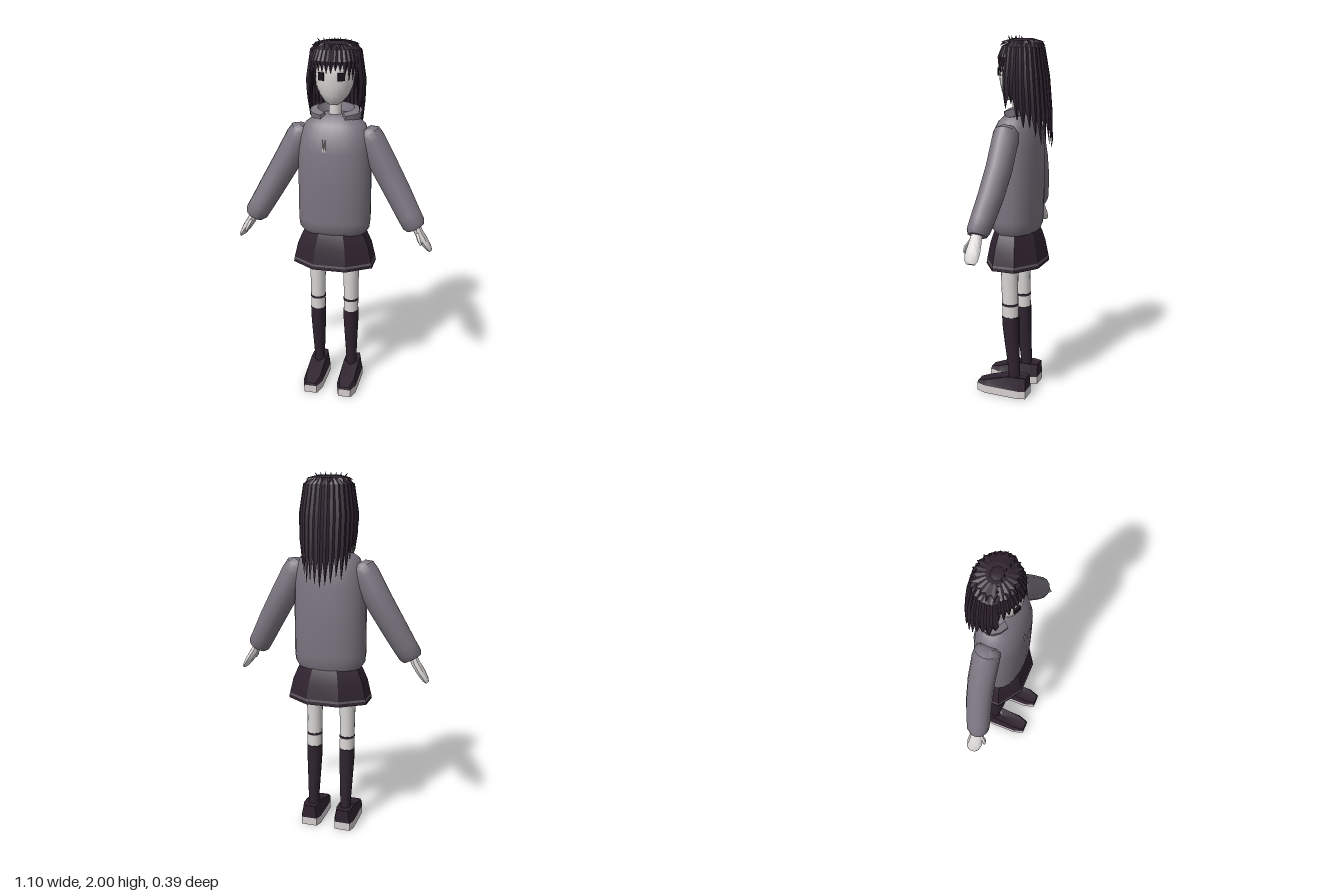
import * as THREE from 'three';
import { toCreasedNormals } from 'three/addons/utils/BufferGeometryUtils.js';

const V = (x, y, z) => new THREE.Vector3(x, y, z);
const colour = (name, hex, side = THREE.FrontSide) => {
  const m = new THREE.MeshStandardMaterial({ color: hex, side });
  m.name = name;
  return m;
};

// Skin a list of rings, each running right-handed about the path direction
function loft(rings, { caps = true, crease = 0.7 } = {}) {
  const n = rings[0].length, pos = [], idx = [];
  rings.forEach(r => r.forEach(p => pos.push(p.x, p.y, p.z)));
  for (let i = 0; i < rings.length - 1; i++) {
    for (let j = 0; j < n; j++) {
      const a = i * n + j, b = i * n + (j + 1) % n;
      idx.push(a, b, a + n, b, b + n, a + n);
    }
  }
  if (caps) [0, rings.length - 1].forEach((k, end) => {
    const c = V(0, 0, 0), at = pos.length / 3;
    rings[k].forEach(p => c.addScaledVector(p, 1 / n));
    pos.push(c.x, c.y, c.z);
    for (let j = 0; j < n; j++) {
      const a = k * n + j, b = k * n + (j + 1) % n;
      if (end) idx.push(at, a, b); else idx.push(at, b, a);
    }
  });
  const g = new THREE.BufferGeometry();
  g.setAttribute('position', new THREE.Float32BufferAttribute(pos, 3));
  g.setIndex(idx);
  return toCreasedNormals(g, crease);
}

// Horizontal ring for lofts that climb in y; power below 1 squares the oval
function oval(y, x, z, rx, rz, n = 16, phase = 0, power = 1) {
  const f = t => Math.sign(t) * Math.abs(t) ** power;
  return Array.from({ length: n }, (_, i) => {
    const t = (i / n) * Math.PI * 2 + phase;
    return V(x + rx * f(Math.sin(t)), y, z + rz * f(Math.cos(t)));
  });
}

// Ring across the slanted arm, u in the arm plane and w along z
const slanted = (x, y, z, u, w, n = 14) => Array.from({ length: n }, (_, i) => {
  const t = (i / n) * Math.PI * 2;
  return V(x + 0.865 * u * Math.cos(t), y + 0.5 * u * Math.cos(t), z + w * Math.sin(t));
});
const mirror = rings => rings.map(r => r.map(p => V(-p.x, p.y, p.z)).reverse());

// Pointed hair lock; steps are [rx, y, rz, halfWidth, halfDepth] about the head
function lock(phi, steps) {
  const s = Math.sin(phi), c = Math.cos(phi);
  return loft(steps.map(([rx, y, rz, w, d]) => {
    const x = rx * s, z = -0.028 + rz * c;
    return [V(x + w * c, y, z - w * s), V(x + d * s, y, z + d * c),
      V(x - w * c, y, z + w * s), V(x - d * s, y, z - d * c)];
  }), { crease: 0.25 });
}

export function createModel() {
  const model = new THREE.Group();
  const hair = colour('dark plum', 0x2f232f, THREE.DoubleSide);
  const knit = colour('sweater grey', 0x7b7580);
  const skin = colour('pale skin', 0xd9d6d5);
  const rubber = colour('sole white', 0xd6cfd0);
  const trim = colour('trim grey', 0x5f585f, THREE.DoubleSide);
  const black = colour('eye black', 0x1c151d);
  const add = (name, geo, mat, parent = model) => {
    const m = new THREE.Mesh(geo, mat);
    m.name = name;
    parent.add(m);
    return m;
  };
  let seed = 7;
  const rnd = () => (seed = (seed * 16807) % 2147483647) / 2147483647 - 0.5;

  // Sweater body
  add('sweater', loft([
    [0.955, 0.175, 0.11, -0.005], [0.985, 0.195, 0.125, 0], [1.03, 0.2, 0.13, 0],
    [1.25, 0.2, 0.132, 0], [1.42, 0.197, 0.13, 0], [1.5, 0.187, 0.118, -0.003],
    [1.56, 0.162, 0.095, -0.01], [1.595, 0.115, 0.07, -0.02], [1.61, 0.07, 0.05, -0.02],
  ].map(([y, rx, rz, z]) => oval(y, 0, z, rx, rz, 24, 0, 0.85))), knit);

  // Folded collar, open at the front and higher at the back
  const collar = [];
  for (let i = 0; i <= 14; i++) {
    const t = 0.5 + (i / 14) * (Math.PI * 2 - 1), b = (1 - Math.cos(t)) / 2;
    collar.push([[0.1, 1.62 + 0.04 * b], [0.142, 1.605 + 0.045 * b], [0.135, 1.57 + 0.035 * b], [0.085, 1.565 + 0.03 * b]]
      .map(([r, y]) => V(r * Math.sin(t), y, -0.025 + r * 0.63 * Math.cos(t))));
  }
  add('collar', loft(collar, { crease: 0.5 }), knit);

  // Two short cords on the chest
  for (const x of [-0.037, -0.026]) {
    add('cord', new THREE.BoxGeometry(0.005, 0.065, 0.006), rubber).position.set(x, 1.46, 0.126);
  }

  // Skirt with a stripe above the hem
  const skirtRings = [[0.765, 0.243, 0.166], [0.782, 0.241, 0.164], [0.794, 0.238, 0.162],
    [0.88, 0.217, 0.145], [0.94, 0.19, 0.127], [0.975, 0.17, 0.112]]
    .map(([y, rx, rz]) => oval(y, 0, -0.002, rx, rz, 8, Math.PI / 8));
  const open = { caps: false, crease: 0.5 };
  add('skirtHem', loft(skirtRings.slice(0, 2), open), hair);
  add('skirtStripe', loft(skirtRings.slice(1, 3), open), trim);
  add('skirt', loft(skirtRings.slice(2), open), hair);

  // Arms and hands
  const sleeve = [
    slanted(0.165, 1.535, -0.008, 0.035, 0.04), slanted(0.178, 1.513, -0.008, 0.068, 0.064),
    slanted(0.2, 1.47, -0.008, 0.076, 0.07), slanted(0.275, 1.33, -0.004, 0.076, 0.07),
    slanted(0.35, 1.2, 0.01, 0.072, 0.068), slanted(0.415, 1.085, 0.03, 0.067, 0.064),
    slanted(0.442, 1.04, 0.038, 0.065, 0.06), slanted(0.454, 1.02, 0.04, 0.052, 0.048),
  ];
  const palm = [
    slanted(0.45, 1.04, 0.04, 0.024, 0.028, 8), slanted(0.475, 0.99, 0.042, 0.025, 0.036, 8),
    slanted(0.505, 0.945, 0.043, 0.023, 0.042, 8), slanted(0.53, 0.908, 0.04, 0.016, 0.036, 8),
    slanted(0.54, 0.894, 0.038, 0.009, 0.024, 8),
  ];
  const thumb = [
    slanted(0.467, 1.0, 0.062, 0.014, 0.014, 6), slanted(0.482, 0.966, 0.085, 0.013, 0.014, 6),
    slanted(0.493, 0.94, 0.092, 0.007, 0.008, 6),
  ];
  for (const [side, f] of [['left', r => r], ['right', mirror]]) {
    add(side + 'Sleeve', loft(f(sleeve)), knit);
    add(side + 'Hand', loft(f(palm)), skin);
    add(side + 'Thumb', loft(f(thumb)), skin);
  }

  // Legs, socks and shoes
  const half = [[0.036, 0.2], [0.056, 0.14], [0.058, 0], [0.058, -0.06], [0.045, -0.1]];
  const plan = [...half, ...half.map(([x, z]) => [-x, z]).reverse()];
  for (const [side, s] of [['left', 1], ['right', -1]]) {
    const x = s * 0.097;
    add(side + 'Leg', loft([[0.45, 0.042, 0.047, 0.005], [0.54, 0.042, 0.046, 0.007],
      [0.65, 0.043, 0.047, 0.01], [0.77, 0.047, 0.051, 0.01], [0.95, 0.055, 0.06, 0]]
      .map(([y, rx, rz, z]) => oval(y, x, z, rx, rz))), skin);
    add(side + 'KneeBand', loft([0.537, 0.55].map(y => oval(y, x, 0.007, 0.0435, 0.0475))), hair);
    add(side + 'Sock', loft([[0.09, 0.03, 0.032, -0.018], [0.16, 0.031, 0.034, -0.016],
      [0.3, 0.038, 0.041, -0.004], [0.4, 0.043, 0.047, 0.003], [0.472, 0.044, 0.049, 0.005]]
      .map(([y, rx, rz, z]) => oval(y, x, z, rx, rz))), hair);
    const cx = s * 0.1;
    add(side + 'Sole', loft([0, 0.045].map(y => plan.map(([px, z]) => V(cx + px, y, z))), { crease: 0.3 }), rubber);
    add(side + 'Shoe', loft([
      plan.map(([px, z]) => V(cx + px, 0.045, z)),
      plan.map(([px, z]) => V(cx + px * 0.76, 0.06 + 0.06 * Math.min(1, (0.2 - z) / 0.2), z * 0.98)),
    ], { crease: 0.3 }), hair);
  }

  // Neck, head with tapered chin, eyes
  add('neck', new THREE.CylinderGeometry(0.032, 0.034, 0.16, 14), skin).position.set(0, 1.65, -0.005);
  add('head', loft([[1.665, 0.025, 0.022, 0.035], [1.68, 0.048, 0.045, 0.026], [1.715, 0.077, 0.075, 0.012],
    [1.76, 0.097, 0.092, 0.004], [1.82, 0.106, 0.1, 0], [1.88, 0.1, 0.094, 0], [1.93, 0.078, 0.072, -0.005],
    [1.965, 0.03, 0.03, -0.01]].map(([y, rx, rz, z]) => oval(y, 0, z, rx, rz, 20))), skin);
  for (const s of [-1, 1]) {
    const eye = add('eye', new THREE.BoxGeometry(0.036, 0.04, 0.008), black);
    eye.position.set(s * 0.053, 1.814, 0.089);
    eye.rotation.y = s * 0.5;
  }

  // Hair: cap, long back locks, fringe and crown spikes
  const hairGroup = new THREE.Group();
  hairGroup.name = 'hair';
  model.add(hairGroup);
  const cap = add('hairCap', new THREE.SphereGeometry(1, 18, 9, 0, Math.PI * 2, 0, Math.PI * 0.55), hair, hairGroup);
  cap.scale.set(0.128, 0.118, 0.116);
  cap.position.set(0, 1.86, -0.025);
  cap.rotation.x = -0.35;
  for (let i = 0; i < 19; i++) {
    const a = ((i / 18) * 2 - 1) * 1.85, side = 1 - Math.cos(a);
    const tip = 1.42 + 0.19 * side + 0.07 * rnd();
    const mid = THREE.MathUtils.lerp(1.79, tip, 0.5);
    add('backLock', lock(Math.PI + a, [[0.085, 1.972, 0.085, 0.014, 0.008], [0.125, 1.94, 0.105, 0.022, 0.011],
      [0.146, 1.79, 0.13, 0.026, 0.013], [0.143, mid, 0.148, 0.021, 0.012], [0.138, tip, 0.166, 0.001, 0.001]]),
    hair, hairGroup);
  }
  for (let i = 0; i < 17; i++) {
    const a = ((i / 16) * 2 - 1) * 1.5;
    const tip = 1.825 - 0.11 * Math.sin(a) ** 4 + 0.05 * rnd();
    add('fringeLock', lock(a, [[0.06, 1.975, 0.05, 0.01, 0.008], [0.112, 1.945, 0.1, 0.016, 0.009],
      [0.133, 1.89, 0.124, 0.017, 0.008], [0.128, tip, 0.126, 0.001, 0.001]]), hair, hairGroup);
  }
  for (let i = 0; i < 20; i++) {
    const a = (i / 20) * Math.PI * 2;
    add('crownSpike', lock(a, [[0.045, 1.985, 0.04, 0.014, 0.014], [0.095, 1.972, 0.085, 0.016, 0.016],
      [0.125, 1.955 + 0.03 * rnd(), 0.118, 0.001, 0.001]]), hair, hairGroup);
  }
  for (let i = 0; i < 7; i++) {
    const tuft = add('topTuft', new THREE.ConeGeometry(0.012, 0.06, 4), hair, hairGroup);
    tuft.position.set(-0.075 + i * 0.025, 1.973, 0.01 + 0.04 * rnd());
    tuft.rotation.z = 0.6 - i * 0.2;
  }
  return model;
}
